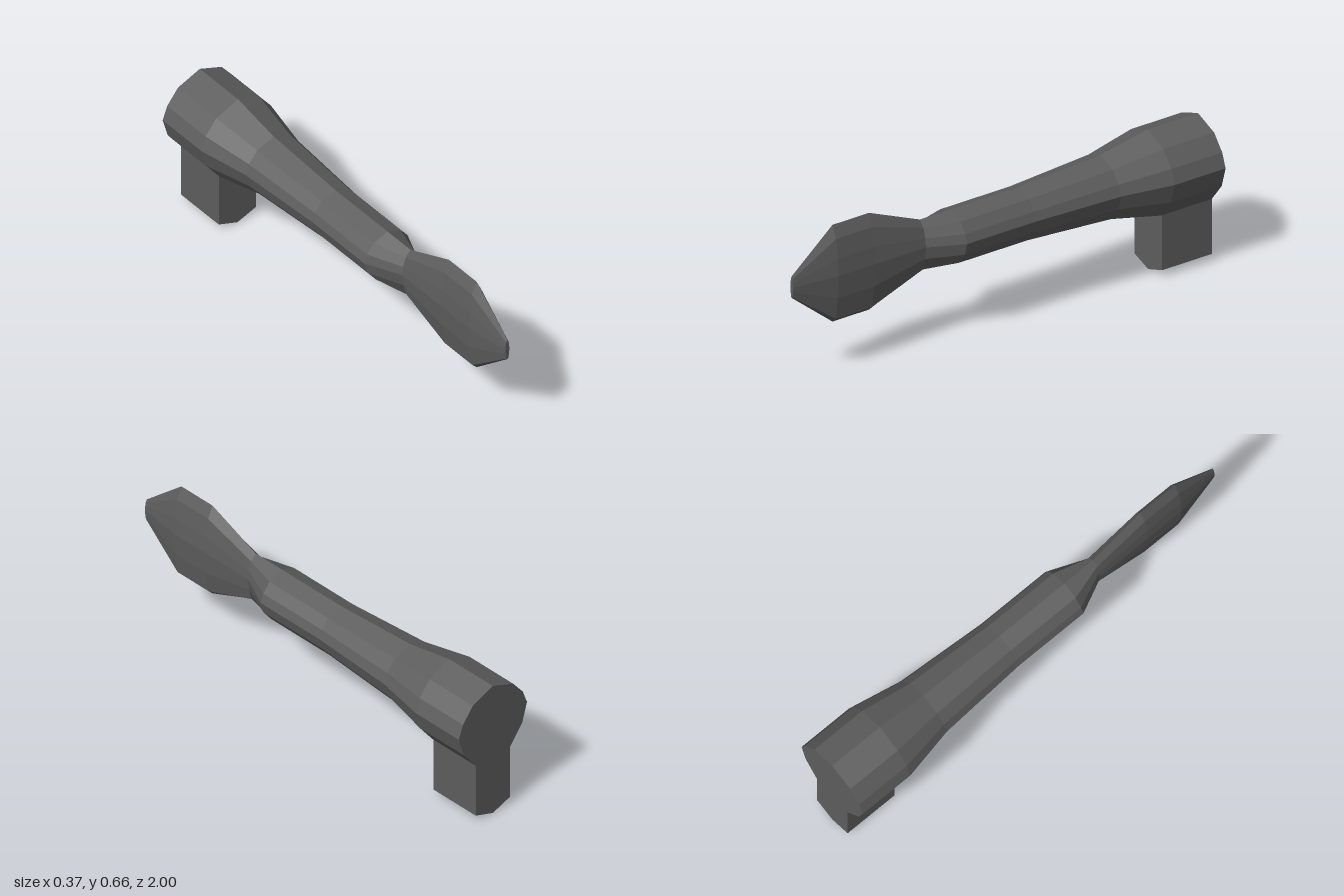
import * as THREE from 'three';

// Right half of the shared cross-section, bottom to top, in units of half width / half height
const HALF = [[0.503, -0.906], [0.86, -0.46], [1, 0], [0.878, 0.36], [0.588, 0.75]];
// Full outline, counter-clockwise seen from the front
const OUTLINE = [[0, -1], ...HALF, [0, 1], ...HALF.map(([x, y]) => [-x, y]).reverse()];

// Stations along the length: z, half width, bottom, middle, top
const STATIONS = [
  [-1, 0.187, 0.26, 0.452, 0.623],
  [-0.75, 0.187, 0.26, 0.452, 0.623],
  [-0.52, 0.141, 0.308, 0.45, 0.578],
  [-0.12, 0.116, 0.33, 0.448, 0.555],
  [0.22, 0.116, 0.33, 0.448, 0.555],
  [0.37, 0.042, 0.33, 0.447, 0.555],
  [0.62, 0.042, 0.228, 0.447, 0.659],
  [0.8, 0.042, 0.228, 0.447, 0.659],
  [1, 0.01, 0.392, 0.442, 0.49],
];

// Skins a run of stations with evenly shaded four-sided facets and optional flat ends
function loft(stations, capBack, capFront) {
  const rings = stations.map(([z, w, low, mid, high]) => OUTLINE.map(([x, y]) =>
    new THREE.Vector3(x * w, mid + y * (y < 0 ? mid - low : high - mid), z)));
  const n = OUTLINE.length;
  const pos = [], normals = [];
  const face = (corners, normal) => corners.forEach((p) => {
    pos.push(p.x, p.y, p.z);
    normals.push(normal.x, normal.y, normal.z);
  });
  for (let s = 0; s < rings.length - 1; s++) {
    for (let i = 0; i < n; i++) {
      const j = (i + 1) % n;
      const a = rings[s][i], b = rings[s][j], c = rings[s + 1][j], d = rings[s + 1][i];
      const normal = c.clone().sub(a).cross(d.clone().sub(b)).normalize();
      face([a, b, c, a, c, d], normal);
    }
  }
  const back = rings[0], front = rings[rings.length - 1];
  for (let i = 1; i < n - 1; i++) {
    if (capBack) face([back[0], back[i + 1], back[i]], new THREE.Vector3(0, 0, -1));
    if (capFront) face([front[0], front[i], front[i + 1]], new THREE.Vector3(0, 0, 1));
  }
  const geo = new THREE.BufferGeometry();
  geo.setAttribute('position', new THREE.Float32BufferAttribute(pos, 3));
  geo.setAttribute('normal', new THREE.Float32BufferAttribute(normals, 3));
  return geo;
}

export function createModel() {
  const group = new THREE.Group();
  const material = new THREE.MeshStandardMaterial({ color: 0x5d5d5d });
  const add = (name, geometry) => {
    const mesh = new THREE.Mesh(geometry, material);
    mesh.name = name;
    group.add(mesh);
    return mesh;
  };

  // Tapered round handle and the thin flat paddle it narrows into
  add('handle', loft(STATIONS.slice(0, 6), true, false));
  add('paddle', loft(STATIONS.slice(5), false, true));

  // Post under the thick end, with a shallow pointed foot
  const w = 0.094;
  const post = new THREE.Shape([
    [0, 0], [w, 0.033], [w, 0.278], [0, 0.26], [-w, 0.278], [-w, 0.033],
  ].map(([x, y]) => new THREE.Vector2(x, y)));
  add('post', new THREE.ExtrudeGeometry(post, { depth: 0.245, bevelEnabled: false })).position.z = -1;

  return group;
}
